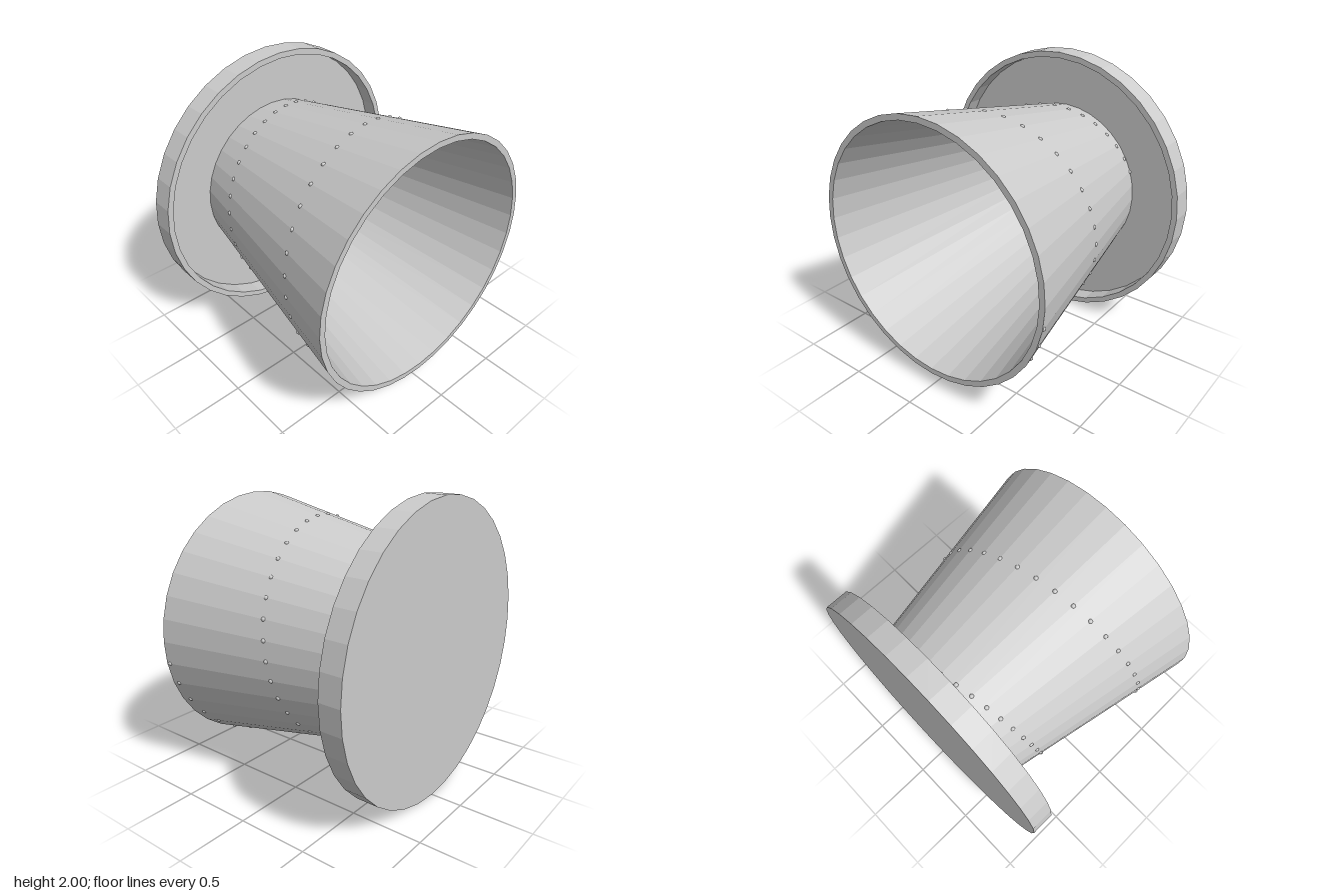
import * as THREE from 'three';

const SIDES = 36;
const BACK = -0.785, FRONT = 0.785, FLOOR = -0.75;
const BACK_RADIUS = 0.59, FRONT_RADIUS = 0.9, WALL = 0.04;

// outer radius of the tapered barrel at depth z
const barrelRadius = (z) =>
  THREE.MathUtils.mapLinear(z, BACK, FRONT, BACK_RADIUS, FRONT_RADIUS);

// turned part around the z axis; profile is a list of [radius, z]
function turned(name, profile, material) {
  const points = profile.map(([r, z]) => new THREE.Vector2(r, z));
  const geometry = new THREE.LatheGeometry(points, SIDES).rotateX(Math.PI / 2);
  const mesh = new THREE.Mesh(geometry, material);
  mesh.name = name;
  return mesh;
}

export function createModel() {
  const model = new THREE.Group();
  const faceted = new THREE.MeshStandardMaterial({ color: 0xcccccc, flatShading: true });

  // shallow dish with a raised rim
  model.add(turned('baseDish', [
    [0, BACK], [1, BACK], [1, -0.63], [0.96, -0.63], [0.96, FLOOR], [0, FLOOR],
  ], faceted));

  // open flared barrel standing on the dish floor
  model.add(turned('flaredBarrel', [
    [barrelRadius(FLOOR), FLOOR], [FRONT_RADIUS, FRONT],
    [FRONT_RADIUS - WALL, FRONT], [barrelRadius(FLOOR) - WALL, FLOOR],
  ], faceted));

  // small studs winding twice around the barrel
  const studs = new THREE.Group();
  studs.name = 'spiralStuds';
  const studGeometry = new THREE.SphereGeometry(0.015, 10, 8);
  const studMaterial = new THREE.MeshStandardMaterial({ color: 0xcccccc });
  for (let i = -34; i <= 35; i++) {
    const angle = (i / 36) * Math.PI * 2;
    const z = (i / 36) * FRONT;
    const r = barrelRadius(z) - 0.005;
    const stud = new THREE.Mesh(studGeometry, studMaterial);
    stud.name = 'stud';
    stud.position.set(r * Math.cos(angle), r * Math.sin(angle), z);
    studs.add(stud);
  }
  model.add(studs);

  model.position.y = 1;
  const root = new THREE.Group();
  root.name = 'flaredSpool';
  root.add(model);
  return root;
}
